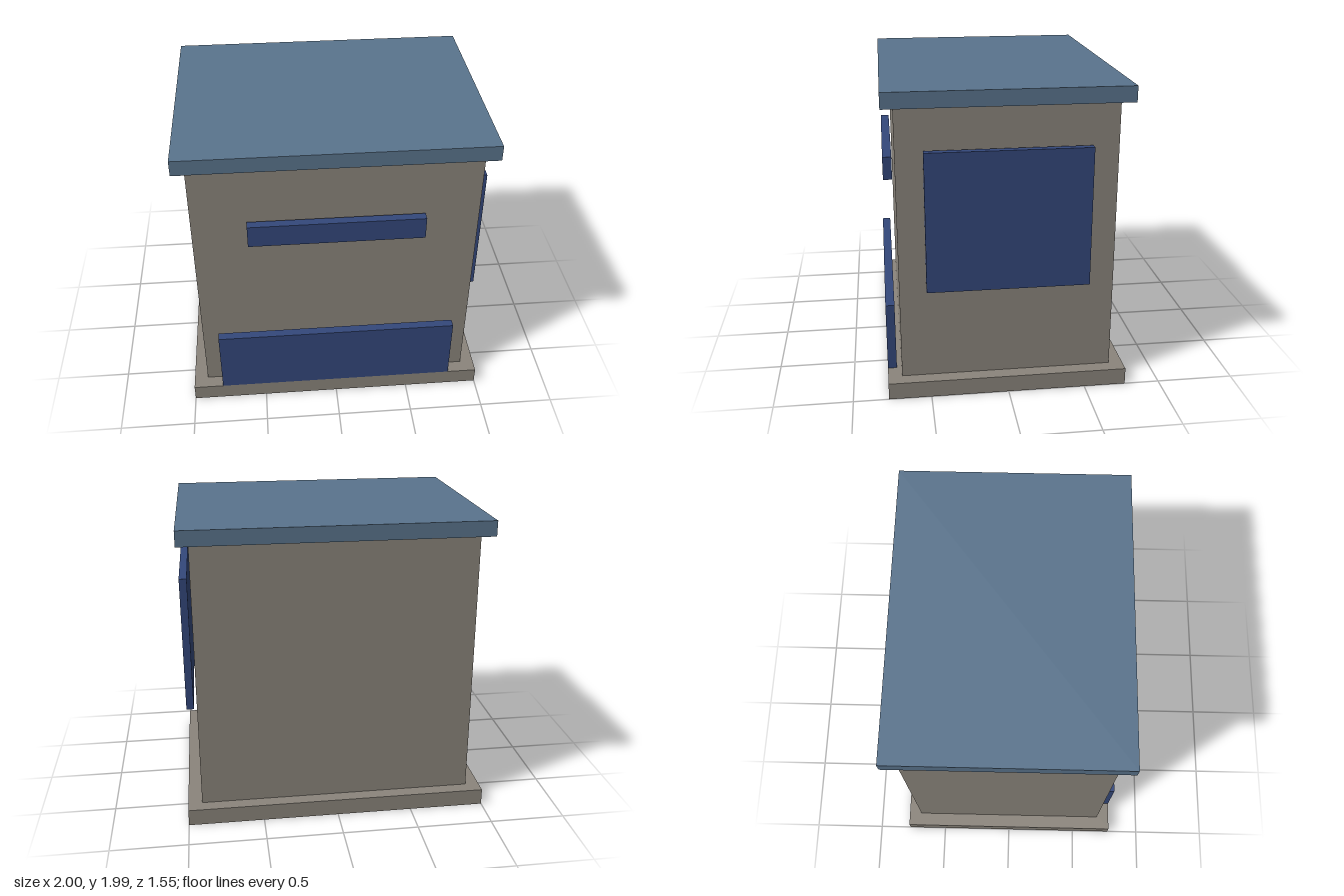
import * as THREE from 'three';

const mat = (name, color) => {
  const m = new THREE.MeshStandardMaterial({ color });
  m.name = name;
  return m;
};

export function createModel() {
  const stone = mat('warm grey', 0x8b857c);
  const slate = mat('slate blue', 0x5a748d);
  const navy = mat('navy blue', 0x34487b);

  const group = new THREE.Group();
  group.name = 'kiosk';

  // Box given by its lower and upper limits on each axis
  const block = (name, material, [x0, x1], [y0, y1], [z0, z1]) => {
    const mesh = new THREE.Mesh(new THREE.BoxGeometry(x1 - x0, y1 - y0, z1 - z0), material);
    mesh.position.set((x0 + x1) / 2, (y0 + y1) / 2, (z0 + z1) / 2);
    mesh.name = name;
    group.add(mesh);
  };

  // Body: plinth, walls and overhanging flat roof
  block('base', stone, [-1, 1], [0, 0.11], [-0.773, 0.773]);
  block('walls', stone, [-0.908, 0.908], [0.11, 1.89], [-0.683, 0.683]);
  block('roof', slate, [-0.983, 0.983], [1.89, 1.99], [-0.757, 0.757]);

  // Panels standing just clear of the walls
  block('frontLowerPanel', navy, [-0.8, 0.8], [0.11, 0.563], [0.715, 0.773]);
  block('frontUpperBar', navy, [-0.56, 0.56], [1.332, 1.482], [0.697, 0.755]);
  block('leftSidePanel', navy, [0.932, 0.981], [0.723, 1.622], [-0.514, 0.514]);

  return group;
}
